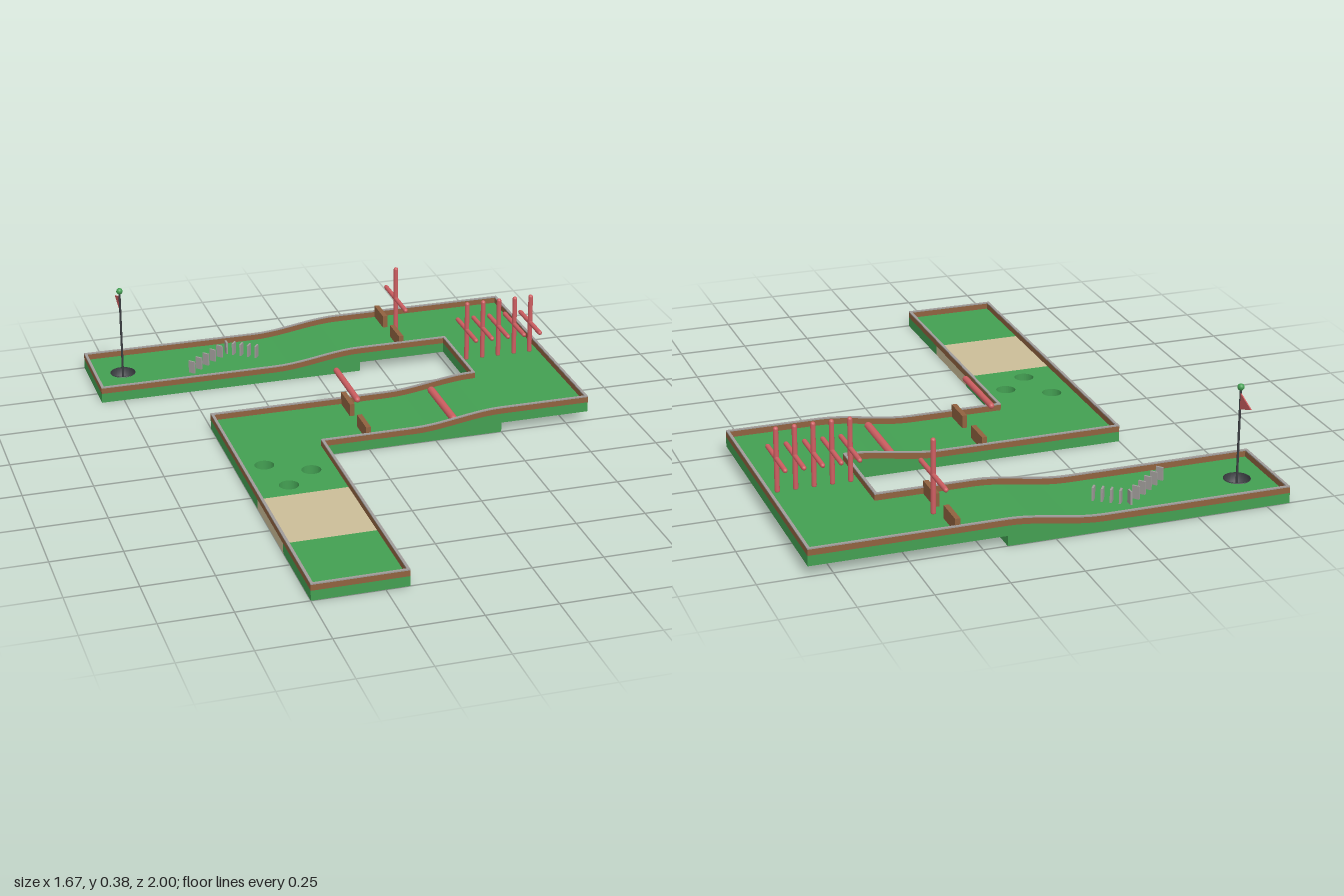
import * as THREE from 'three';

const T = 1 / 3;            // tile size
const DECK = 0.036;         // deck thickness, also the rise of each ramp
const RAMPS = { near: T / 2, far: -T / 2 }; // x where each ramp begins

// Turf height at any point of the course
function ground(x, z) {
  const start = z > -0.5 ? RAMPS.near : RAMPS.far;
  return DECK + DECK * THREE.MathUtils.smoothstep(x, start, start + T);
}

export function createModel() {
  const course = new THREE.Group();
  course.name = 'miniGolfCourse';

  const mat = (name, color, side = THREE.FrontSide) => {
    const m = new THREE.MeshStandardMaterial({ color, side });
    m.name = name;
    return m;
  };
  const turf = mat('turf green', 0x439f52);
  const sand = mat('sand', 0xcbbd98);
  const wood = mat('brown wood', 0x90623f);
  const stone = mat('grey trim', 0xa09c9a);
  const red = mat('red', 0xcf5f62, THREE.DoubleSide);
  const dark = mat('dark metal', 0x3b3e42, THREE.DoubleSide);

  const add = (name, geometry, material, x = 0, y = 0, z = 0, parent = course) => {
    const mesh = new THREE.Mesh(geometry, material);
    mesh.name = name;
    mesh.position.set(x, y, z);
    parent.add(mesh);
    return mesh;
  };

  // Flat slab spanning x0..x1, z0..z1
  const slab = (name, x0, x1, z0, z1, bottom, material = turf, h = DECK) =>
    add(name, new THREE.BoxGeometry(x1 - x0, h, z1 - z0), material,
      (x0 + x1) / 2, bottom + h / 2, (z0 + z1) / 2);

  // Flat slab pierced by round holes [x, z]
  function piercedSlab(name, x0, x1, z0, z1, holes, r, bottom = 0) {
    const shape = new THREE.Shape();
    shape.moveTo(x0, z0).lineTo(x1, z0).lineTo(x1, z1).lineTo(x0, z1).closePath();
    for (const [x, z] of holes) {
      shape.holes.push(new THREE.Path().absarc(x, z, r, 0, Math.PI * 2, true));
    }
    const g = new THREE.ExtrudeGeometry(shape, { depth: DECK - bottom, bevelEnabled: false, curveSegments: 16 });
    g.rotateX(Math.PI / 2);
    add(name, g, turf, 0, DECK, 0);
  }

  // Ramp tile with a flat underside
  function ramp(name, x0, z0) {
    const shape = new THREE.Shape();
    shape.moveTo(x0, 0).lineTo(x0 + T, 0);
    for (let i = 10; i >= 0; i--) {
      const x = x0 + (T * i) / 10;
      shape.lineTo(x, ground(x, z0 + T / 2));
    }
    shape.closePath();
    add(name, new THREE.ExtrudeGeometry(shape, { depth: T, bevelEnabled: false }), turf, 0, 0, z0);
  }

  // Decks
  const W = 2.5 * T;
  slab('startDeck', -0.5, -T / 2, 2 * T, 1, 0);
  slab('sandDeck', -0.5, -T / 2, T, 2 * T, 0, sand);
  piercedSlab('holedDeck', -0.5, -T / 2, 0, T, [[-0.41, 0.085], [-0.262, 0.167], [-0.368, 0.259]], 0.035);
  slab('nearDeck', -0.5, T / 2, -T, 0, 0);
  ramp('nearRamp', RAMPS.near, -T);
  slab('raisedDeck', 0.5, W, -1, 0, DECK);
  slab('raisedFarDeck', T / 2, 0.5, -1, -2 * T, DECK);
  ramp('farRamp', RAMPS.far, -1);
  slab('farDeck', -0.5, -T / 2, -1, -2 * T, 0);
  const cup = [-0.718, -0.834];
  piercedSlab('cupDeck', -W, -0.5, -1, -2 * T, [cup], 0.045, 0.004);
  slab('cupDeckBase', -W, -0.5, -1, -2 * T, 0, turf, 0.004);

  // Edge rail: a rectangular section swept round the outline, following the turf
  const outline = [[-0.5, 1], [-T / 2, 1], [-T / 2, 0], [W, 0], [W, -1], [-W, -1],
    [-W, -2 * T], [0.5, -2 * T], [0.5, -T], [-0.5, -T]];
  const samples = [];
  const inward = (i) => {
    const n = outline.length, a = outline[(i + n) % n], b = outline[(i + 1) % n];
    const dx = b[0] - a[0], dz = b[1] - a[1], l = Math.hypot(dx, dz);
    return [dz / l, -dx / l];
  };
  outline.forEach((a, i) => {
    const b = outline[(i + 1) % outline.length];
    const n = inward(i), p = inward(i - 1);
    const steps = Math.max(1, Math.round(Math.abs(b[0] - a[0]) / T * 10));
    for (let k = 0; k < steps; k++) {
      const t = k / steps;
      samples.push({
        x: a[0] + (b[0] - a[0]) * t,
        z: a[1] + (b[1] - a[1]) * t,
        nx: n[0] + (k ? 0 : p[0]),
        nz: n[1] + (k ? 0 : p[1]),
      });
    }
  });
  function rail(name, material, y0, y1, width) {
    const pos = [], index = [], count = samples.length;
    for (const s of samples) {
      const y = ground(s.x, s.z), xi = s.x + s.nx * width, zi = s.z + s.nz * width;
      pos.push(s.x, y + y0, s.z, s.x, y + y1, s.z, xi, y + y1, zi, xi, y + y0, zi);
    }
    for (let k = 0; k < count; k++) {
      for (let j = 0; j < 4; j++) {
        const a = k * 4 + j, b = ((k + 1) % count) * 4 + j;
        const c = ((k + 1) % count) * 4 + (j + 1) % 4, d = k * 4 + (j + 1) % 4;
        index.push(a, b, c, a, c, d);
      }
    }
    let g = new THREE.BufferGeometry();
    g.setAttribute('position', new THREE.Float32BufferAttribute(pos, 3));
    g.setIndex(index);
    g = g.toNonIndexed();
    g.computeVertexNormals();
    add(name, g, material);
  }
  rail('railSide', wood, 0, 0.021, 0.01);
  rail('railCap', stone, 0.021, 0.025, 0.01);

  // Wooden gates: two half walls with a gap between
  for (const [x, z] of [[0, -T / 2], [T, -5 * T / 2]]) {
    const y = z > -0.5 ? DECK : 2 * DECK;
    for (const s of [-1, 1]) {
      add('gateWall', new THREE.BoxGeometry(0.018, 0.047, 0.112), wood, x, y + 0.0235, z + s * 0.102);
    }
  }

  // Round-ended red rods
  const rod = (name, r, length, x, y, z, lying, parent = course) => {
    const m = add(name, new THREE.CapsuleGeometry(r, length - 2 * r, 3, 10), red, x, y, z, parent);
    if (lying) m.rotation.x = Math.PI / 2;
  };
  rod('hangingBar', 0.011, 0.285, -0.034, 0.185, -0.166, true);
  rod('rampBar', 0.014, 0.285, 0.33, 0.058, -0.168, true);

  // Turnstiles: a post with a crossbar
  function turnstile(name, x, z, top, barY, barLength) {
    const g = new THREE.Group();
    g.name = name;
    course.add(g);
    const base = ground(x, z) - 0.005;
    rod('post', 0.009, top - base, x, (top + base) / 2, z, false, g);
    rod('crossbar', 0.0085, barLength, x, barY, z, true, g);
  }
  turnstile('gateTurnstile', 0.361, -0.832, 0.338, 0.208, 0.264);
  for (let i = 0; i < 5; i++) turnstile('turnstile', 0.537 + i * 0.0633, -0.5, 0.304, 0.191, 0.228);

  // Bent row of upright slabs, each square to the row
  const bend = [[-0.468, -0.757], [-0.299, -0.9], [-0.198, -0.83]];
  [6, 4].forEach((count, leg) => {
    const [a, b] = [bend[leg], bend[leg + 1]];
    const angle = -Math.atan2(b[1] - a[1], b[0] - a[0]);
    for (let k = 0; k < count; k++) {
      const t = leg ? (k + 1) / count : k / (count - 1);
      const m = add('uprightSlab', new THREE.BoxGeometry(0.007, 0.047, 0.026), stone,
        a[0] + (b[0] - a[0]) * t, DECK + 0.0235, a[1] + (b[1] - a[1]) * t);
      m.rotation.y = leg ? angle : angle * (k === count - 1 ? 0 : 1);
    }
  });

  // Cup, pole, ball and pennant
  const [cx, cz] = cup;
  const profile = [[0, 0.006], [0.044, 0.006], [0.044, 0.038], [0.047, 0.038], [0.047, 0.035]]
    .map(([r, y]) => new THREE.Vector2(r, y));
  add('cup', new THREE.LatheGeometry(profile, 24), dark, cx, 0, cz);
  add('flagPole', new THREE.CylinderGeometry(0.004, 0.004, 0.36, 10), dark, cx, 0.185, cz);
  add('poleBall', new THREE.SphereGeometry(0.012, 14, 10), turf, cx, 0.368, cz);
  const flag = new THREE.Shape();
  flag.moveTo(0, 0.347).lineTo(0.085, 0.318).lineTo(0, 0.288).closePath();
  const pennant = new THREE.ExtrudeGeometry(flag, { depth: 0.004, bevelEnabled: false });
  pennant.translate(0, 0, -0.002).rotateY(Math.PI / 2);
  add('pennant', pennant, red, cx, 0, cz);

  return course;
}
